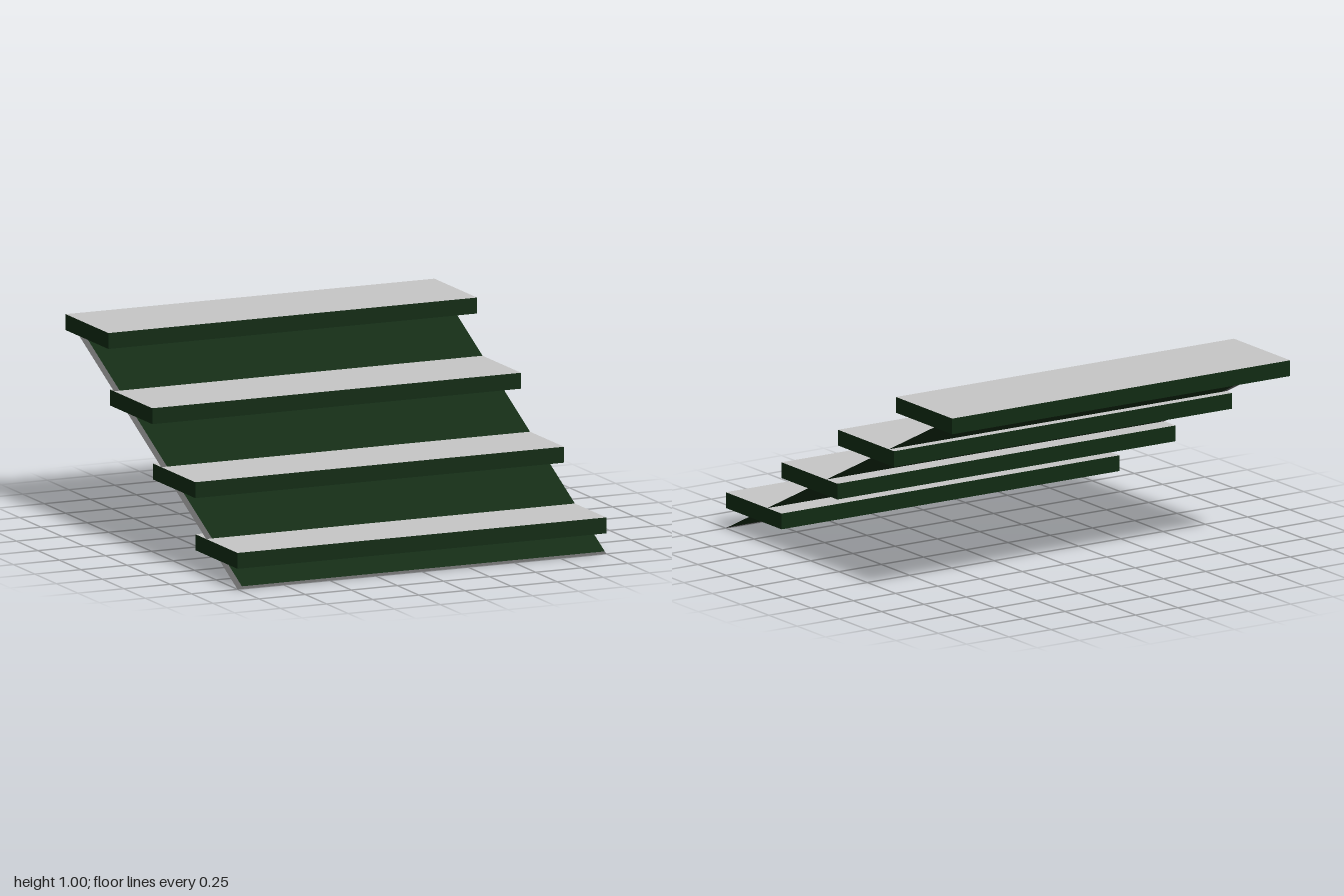
import * as THREE from 'three';

export function createModel() {
  const group = new THREE.Group();
  group.name = 'stairs';

  const green = new THREE.MeshStandardMaterial({ color: 0x102a12, side: THREE.DoubleSide });
  green.name = 'dark green';
  const topGrey = new THREE.MeshStandardMaterial({ color: 0xc6c6c6 });
  topGrey.name = 'light grey';
  const edgeGrey = new THREE.MeshStandardMaterial({ color: 0x646464, side: THREE.DoubleSide });
  edgeGrey.name = 'edge grey';

  // Treads: green slabs with a light grey upper face [front z, back z, bottom y, top y]
  const treads = [
    [1, 0.508, 0.103, 0.183],
    [0.508, 0.014, 0.364, 0.444],
    [0.008, -0.486, 0.64, 0.72],
    [-0.503, -1, 0.92, 1],
  ];
  treads.forEach(([front, back, bottom, top], i) => {
    const slab = new THREE.Mesh(
      new THREE.BoxGeometry(2, top - bottom, front - back),
      [green, green, topGrey, green, green, green],
    );
    slab.position.set(0, (top + bottom) / 2, (front + back) / 2);
    slab.name = `tread${i + 1}`;
    group.add(slab);
  });

  // Sloping sheet behind the treads, from the front foot to the top back edge;
  // t runs from 0 at the foot to 1 at the top
  const addSheet = (name, x0, x1, t0, t1, material) => {
    const geometry = new THREE.PlaneGeometry(x1 - x0, (t1 - t0) * Math.sqrt(5));
    geometry.rotateX(-Math.atan2(2, 1));
    const t = (t0 + t1) / 2;
    geometry.translate((x0 + x1) / 2, t, 1 - 2 * t);
    const mesh = new THREE.Mesh(geometry, material);
    mesh.name = name;
    group.add(mesh);
  };
  addSheet('backingSheet', -0.968, 1, 0.009, 1, green);
  addSheet('sideEdge', -1, -0.968, 0, 1, edgeGrey);
  addSheet('footEdge', -0.968, 1, 0, 0.009, edgeGrey);

  return group;
}
